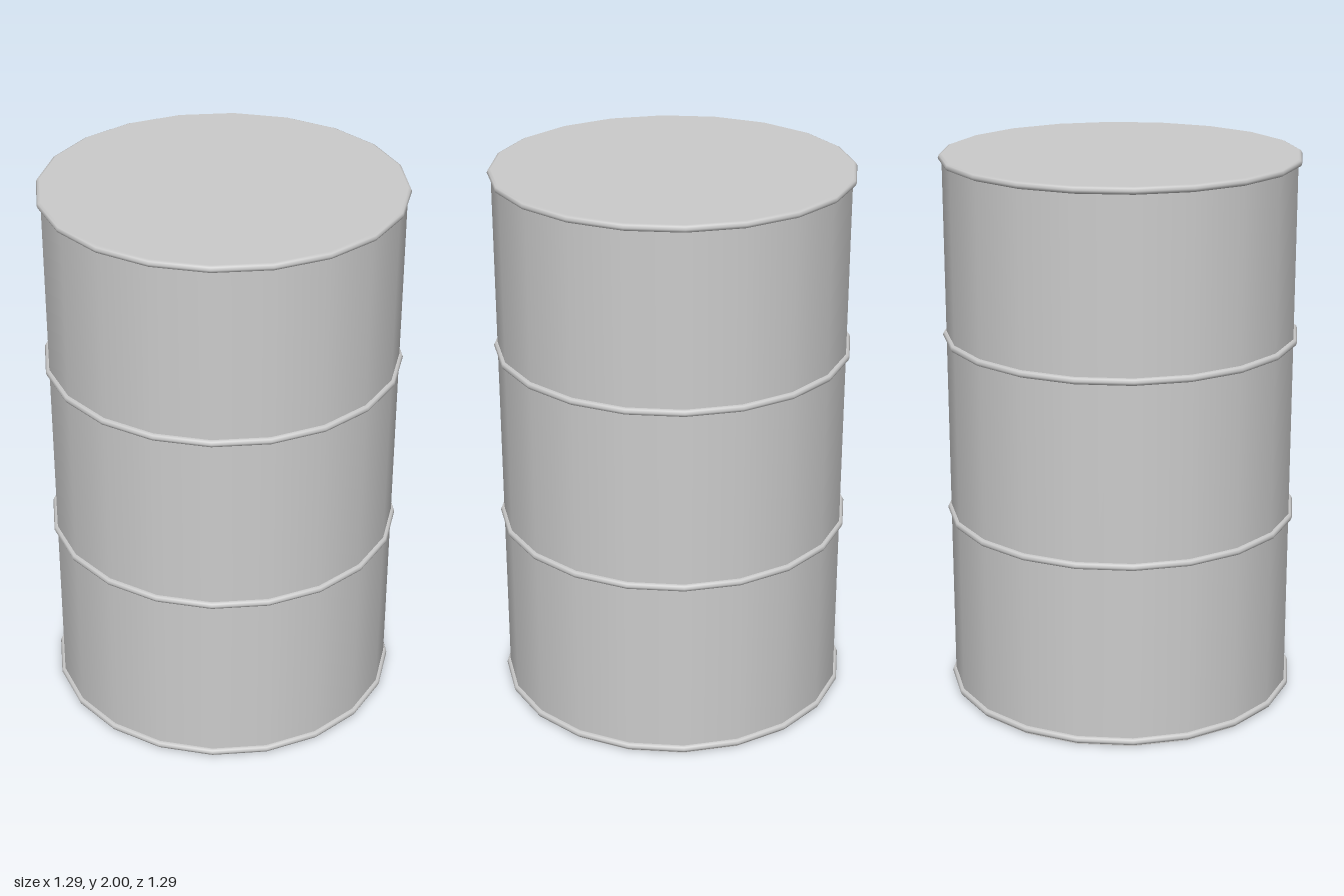
import * as THREE from 'three';

const SIDES = 20;
const RADIUS = 0.63;
const HEIGHT = 2;
const HOOP = 0.013;

export function createModel() {
  const group = new THREE.Group();
  group.name = 'drum';
  const material = new THREE.MeshStandardMaterial({ color: 0xcccccc });

  // Closed drum with smooth walls and flat lids
  const body = new THREE.Mesh(new THREE.CylinderGeometry(RADIUS, RADIUS, HEIGHT, SIDES), material);
  body.name = 'body';
  body.position.y = HEIGHT / 2;
  group.add(body);

  // Rounded hoops: a rim at each end and two around the wall
  const hoopGeometry = new THREE.TorusGeometry(RADIUS, HOOP, 8, SIDES).rotateX(Math.PI / 2);
  const hoops = { bottomRim: 0.018, lowerHoop: 0.682, upperHoop: 1.345, topRim: HEIGHT - HOOP };
  for (const [name, y] of Object.entries(hoops)) {
    const hoop = new THREE.Mesh(hoopGeometry, material);
    hoop.name = name;
    hoop.position.y = y;
    group.add(hoop);
  }
  return group;
}
